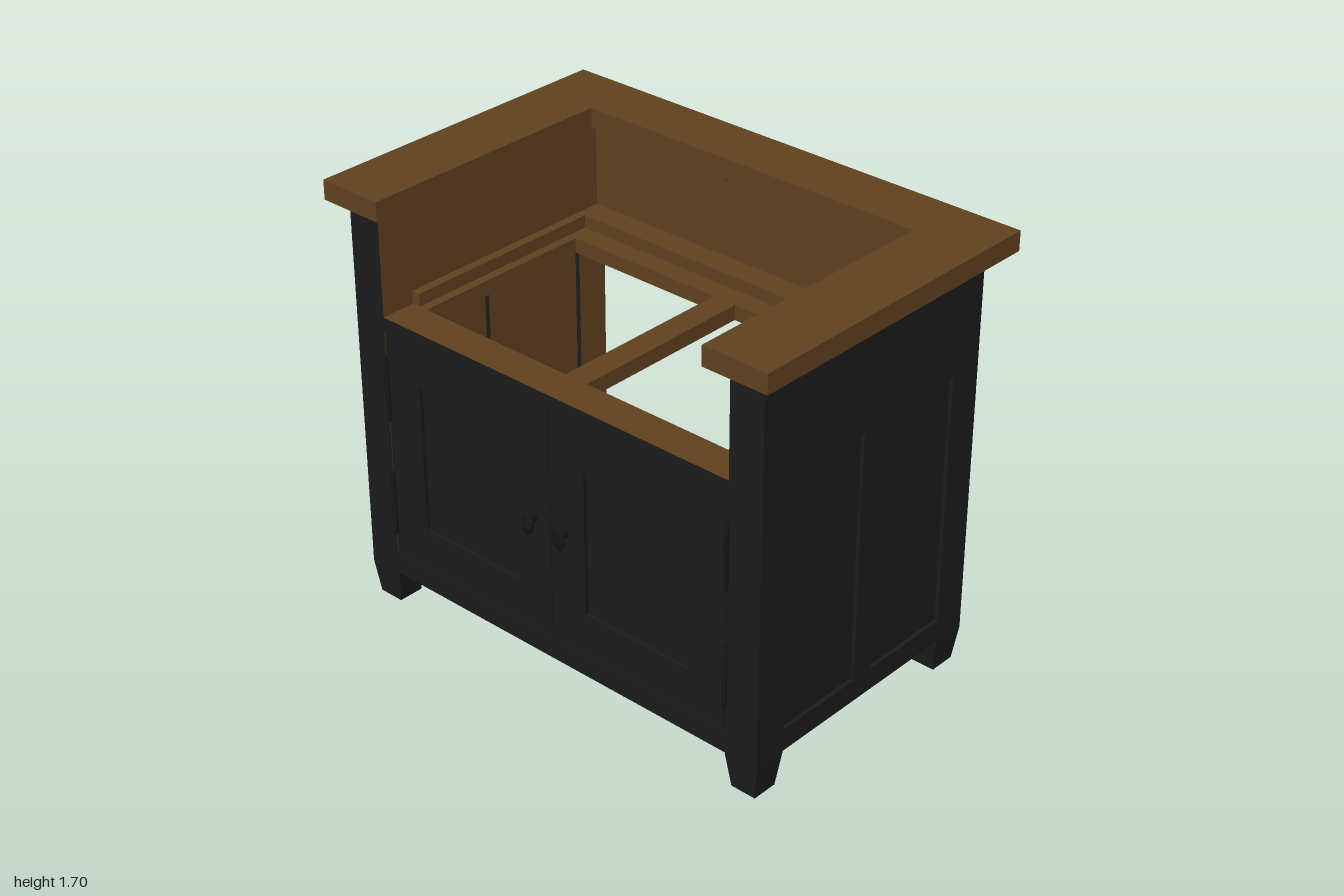
import * as THREE from 'three';

const flat = (name, color) => {
  const m = new THREE.MeshStandardMaterial({ color });
  m.name = name;
  return m;
};

export function createModel() {
  const root = new THREE.Group();
  root.name = 'cabinet';
  const wood = flat('brown wood', 0x60411f);
  const paint = flat('charcoal paint', 0x1c1c1c);
  const metal = flat('black metal', 0x171717);
  const mats = { b: wood, d: paint };

  const add = (name, geo, mat, parent = root) => {
    const mesh = new THREE.Mesh(geo, mat);
    mesh.name = name;
    parent.add(mesh);
    return mesh;
  };

  // Box from ranges; faces lists b (brown) or d (dark) for +x -x +y -y +z -z.
  // side = -1 builds the mirrored copy.
  const box = (name, [x0, x1], [y0, y1], [z0, z1], faces, side = 1, parent = root) => {
    if (faces.length === 1) faces = faces.repeat(6);
    const f = [...faces];
    if (side < 0) [f[0], f[1]] = [f[1], f[0]];
    const geo = new THREE.BoxGeometry(x1 - x0, y1 - y0, z1 - z0);
    geo.translate(side * (x0 + x1) / 2, (y0 + y1) / 2, (z0 + z1) / 2);
    return add(name, geo, f.map(k => mats[k]), parent);
  };

  const rect = (Type, x0, x1, y0, y1) => {
    const p = new Type();
    p.moveTo(x0, y0);
    p.lineTo(x1, y0);
    p.lineTo(x1, y1);
    p.lineTo(x0, y1);
    p.closePath();
    return p;
  };

  // U-shaped worktop, open at the front
  const top = new THREE.Shape([
    [-1, -0.645], [1, -0.645], [1, 0.645], [0.735, 0.645],
    [0.735, -0.41], [-0.735, -0.41], [-0.735, 0.645], [-1, 0.645],
  ].map(([x, z]) => new THREE.Vector2(x, z)));
  const topGeo = new THREE.ExtrudeGeometry(top, { depth: 0.076, bevelEnabled: false });
  topGeo.rotateX(Math.PI / 2).translate(0, 1.704, 0);
  add('worktop', topGeo, wood);

  // Screw heads in the back edge of the worktop
  for (const x of [-0.85, 0, 0.85]) {
    const g = new THREE.CylinderGeometry(0.007, 0.007, 0.004, 12);
    g.rotateX(Math.PI / 2).translate(x, 1.667, -0.6438);
    add('screwHead', g, metal);
  }

  // Corner post with tapered foot
  const corner = (side, z0, z1, postFaces, footFaces) => {
    box('cornerPost', [0.8, 0.94], [0.135, 1.628], [z0, z1], postFaces, side);
    const foot = box('foot', [0.8, 0.94], [0, 0.135], [z0, z1], footFaces, side);
    const p = foot.geometry.attributes.position;
    const cx = side * 0.87, cz = (z0 + z1) / 2;
    for (let i = 0; i < p.count; i++) {
      if (p.getY(i) > 0.06) continue;
      p.setX(i, cx + (p.getX(i) - cx) * 0.74);
      p.setZ(i, cz + (p.getZ(i) - cz) * 0.77);
    }
    foot.geometry.computeVertexNormals();
  };

  for (const s of [1, -1]) {
    corner(s, 0.452, 0.585, 'dbbddd', 'd');
    corner(s, -0.538, -0.4, 'dbbddb', 'dddddb');

    // Framed side, flush with the posts, with two recessed panels
    box('sideTopRail', [0.8, 0.94], [1.22, 1.628], [-0.4, 0.452], 'dbbddd', s);
    box('sideBottomRail', [0.8, 0.94], [0.142, 0.23], [-0.4, 0.452], 'dddddd', s);
    box('sideStile', [0.8, 0.94], [0.23, 1.22], [-0.02, 0.075], 'dbdddd', s);
    for (const z of [[0.075, 0.452], [-0.4, -0.02]])
      box('sidePanel', [0.82, 0.925], [0.23, 1.22], z, 'dbdddd', s);

    // Inner frame side rail, ledge above it and cleat under the worktop
    box('innerSideRail', [0.73, 0.8], [1.155, 1.215], [-0.4, 0.445], 'b', s);
    box('sideLedge', [0.765, 0.8], [1.215, 1.265], [-0.4, 0.445], 'b', s);
    box('cleat', [0.125, 0.74], [1.588, 1.628], [-0.5, -0.45], 'b', s);

    // Brace under the floor at each corner
    for (const [z, d] of [[0.54, -1], [-0.5, 1]]) {
      const brace = new THREE.Shape([
        new THREE.Vector2(s * 0.8, z),
        new THREE.Vector2(s * 0.6, z),
        new THREE.Vector2(s * 0.8, z + d * 0.2),
      ]);
      const g = new THREE.ExtrudeGeometry(brace, { depth: 0.02, bevelEnabled: false });
      g.rotateX(Math.PI / 2).translate(0, 0.17, 0);
      add('cornerBrace', g, paint);
    }
  }

  // Back: upper panel, lower rail and middle post
  box('backPanel', [-0.8, 0.8], [1.158, 1.628], [-0.538, -0.5], 'b');
  box('backBottomRail', [-0.8, 0.8], [0.142, 0.23], [-0.538, -0.5], 'bbbddb');
  box('backMiddlePost', [-0.05, 0.05], [0.23, 1.158], [-0.538, -0.5], 'b');

  // Front rails
  box('frontTopRail', [-0.8, 0.8], [1.155, 1.215], [0.445, 0.585], 'bbbbdb');
  box('frontBottomRail', [-0.8, 0.8], [0.14, 0.232], [0.54, 0.585], 'd');

  // Inner frame beneath the open bay
  box('innerBackRail', [-0.8, 0.8], [1.155, 1.215], [-0.4, -0.31], 'b');
  box('innerMiddleRail', [-0.05, 0.05], [1.155, 1.215], [-0.31, 0.445], 'b');
  box('backLedge', [-0.8, 0.8], [1.2, 1.265], [-0.5, -0.397], 'b');

  // Floor
  box('floor', [-0.8, 0.8], [0.158, 0.222], [-0.5, 0.54], 'bbbdbb');
  box('floorMiddleRail', [-0.05, 0.05], [0.152, 0.24], [-0.5, 0.54], 'bbbddb');

  // Doors with recessed panel, knob and hinges
  const knobProfile = [
    [0, 0], [0.016, 0], [0.012, 0.008], [0.011, 0.02], [0.03, 0.026],
    [0.046, 0.032], [0.05, 0.037], [0.044, 0.043], [0.026, 0.048], [0, 0.05],
  ].map(([r, h]) => new THREE.Vector2(r, h));
  const hingeProfile = (h) => [
    [0, 0], [0.006, 0.003], [0.007, 0.01], [0.004, 0.016], [0.01, 0.02],
    [0.01, h - 0.02], [0.004, h - 0.016], [0.007, h - 0.01], [0.006, h - 0.003], [0, h],
  ].map(([r, y]) => new THREE.Vector2(r, y));

  for (const s of [1, -1]) {
    const door = new THREE.Group();
    door.name = s > 0 ? 'leftDoor' : 'rightDoor';
    root.add(door);

    const xs = (a, b) => (s > 0 ? [a, b] : [-b, -a]);
    const frame = rect(THREE.Shape, ...xs(0.002, 0.797), 0.235, 1.155);
    frame.holes.push(rect(THREE.Path, ...xs(0.16, 0.633), 0.4, 0.993));
    const g = new THREE.ExtrudeGeometry(frame, { depth: 0.045, bevelEnabled: false });
    g.translate(0, 0, 0.54);
    add('doorFrame', g, paint, door);
    box('doorPanel', [0.16, 0.633], [0.4, 0.993], [0.553, 0.57], 'd', s, door);

    const knob = new THREE.LatheGeometry(knobProfile, 24);
    knob.rotateX(Math.PI / 2).scale(0.58, 1, 1).translate(s * 0.075, 0.695, 0.585);
    add('knob', knob, metal, door);

    for (const [y0, y1] of [[0.315, 0.59], [0.795, 1.07]]) {
      const hinge = new THREE.LatheGeometry(hingeProfile(y1 - y0), 12);
      hinge.translate(s * 0.797, y0, 0.589);
      add('hinge', hinge, metal, door);
    }
  }

  return root;
}
